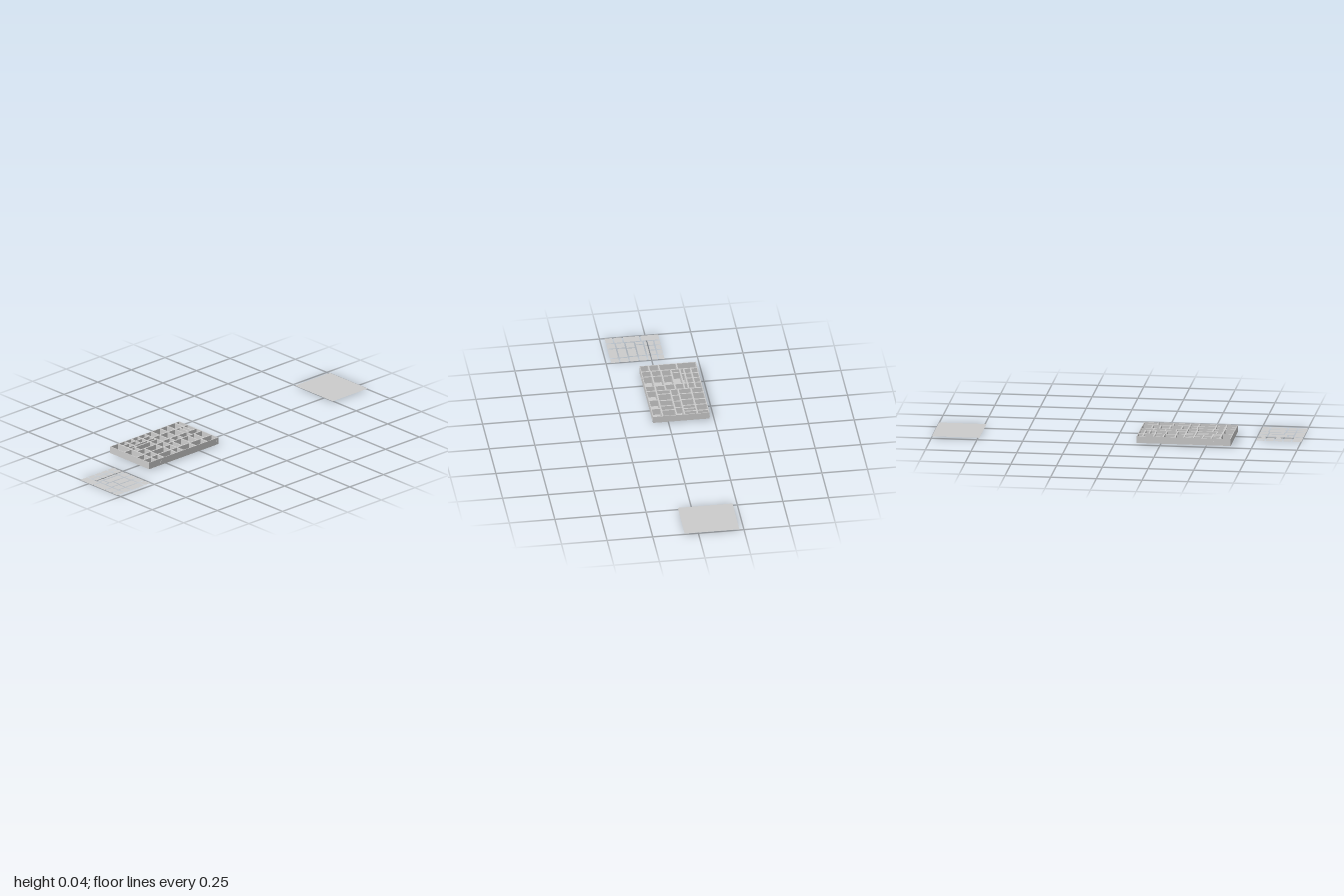
import * as THREE from 'three';

const mat = new THREE.MeshStandardMaterial({ color: 0xcccccc, flatShading: true, side: THREE.DoubleSide });
const W = 0.257, D = 0.31;          // one half of the tray
const BOTTOM = 0.005, TOP = 0.043;
const U = W / 48, V = D / 57;       // layout units
const Z0 = -0.225;

// Compartment rows: [z start, z end, ...x divisions]
const leftRows = [
  [0, 20, 0, 11], [20, 38, 0, 11], [38, 48, 0, 11], [48, 57, 0, 11],
  [0, 7, 11, 20, 29, 38, 48], [7, 14, 11, 20, 29, 38, 48],
  [14, 18, 11, 20, 38, 48], [18, 27, 11, 17, 38, 48],
  [27, 37, 11, 22, 38, 48], [37, 47, 11, 21, 39, 48], [47, 57, 11, 21, 39, 48],
];
const rightRows = [
  [0, 12, 0, 9, 21, 31, 42, 48], [12, 25, 0, 9, 20, 31, 37, 42, 48],
  [25, 33, 0, 11, 22, 34, 48], [33, 47, 0, 7, 19, 29, 37, 48],
  [47, 57, 0, 17, 33, 48],
];

// Turns rows into rectangles, inset by half a divider
function cells(rows, inset) {
  const out = [];
  for (const [z0, z1, ...xs] of rows)
    for (let i = 0; i + 1 < xs.length; i++)
      out.push([xs[i] * U + inset, z0 * V + inset, xs[i + 1] * U - inset, z1 * V - inset]);
  return out;
}

function rectPath(Type, [x0, z0, x1, z1]) {
  const p = new Type();
  p.moveTo(x0, -z0);
  p.lineTo(x1, -z0);
  p.lineTo(x1, -z1);
  p.lineTo(x0, -z1);
  p.closePath();
  return p;
}

function add(group, name, geometry, x, y, z) {
  const m = new THREE.Mesh(geometry, mat);
  m.name = name;
  m.position.set(x, y, z);
  group.add(m);
  return m;
}

// Frame and dividers of one half, cut from a slab
function dividerGeometry(rows) {
  const s = rectPath(THREE.Shape, [0, 0, W, D]);
  s.holes = cells(rows, 0.004).map(c => rectPath(THREE.Path, c));
  const g = new THREE.ExtrudeGeometry(s, { depth: TOP - BOTTOM, bevelEnabled: false });
  return g.rotateX(-Math.PI / 2);
}

// Separate flat floor tiles, one per compartment
function tileGeometry(rows, inset) {
  const shapes = cells(rows, inset).map(c => rectPath(THREE.Shape, c));
  return new THREE.ShapeGeometry(shapes).rotateX(-Math.PI / 2);
}

function plateGeometry(w, d) {
  return new THREE.PlaneGeometry(w, d).rotateX(-Math.PI / 2);
}

export function createModel() {
  const root = new THREE.Group();
  root.name = 'compartmentTray';

  const tray = new THREE.Group();
  tray.name = 'tray';
  root.add(tray);
  const xL = -0.634, xR = xL + W;
  add(tray, 'denseDividers', dividerGeometry(leftRows), xL, BOTTOM, Z0);
  add(tray, 'openDividers', dividerGeometry(rightRows), xR, BOTTOM, Z0);

  // Floors: one solid panel, one set of fitted tiles
  add(tray, 'solidFloor', plateGeometry(W, D), xL + W / 2, BOTTOM - 0.0005, Z0 + D / 2);
  add(tray, 'tiledFloor', tileGeometry(rightRows, 0.004), xR, BOTTOM + 0.002, Z0);

  // Small round pins on the front and back walls
  for (const x of [-0.54, -0.13])
    for (const z of [Z0, Z0 + D]) {
      const g = new THREE.CylinderGeometry(0.009, 0.009, 0.003, 12).rotateX(Math.PI / 2);
      add(tray, 'pin', g, x, 0.02, z);
    }

  // Loose liner tiles beside the tray
  const liner = add(root, 'looseLinerTiles', tileGeometry(leftRows, 0.004), -1.004, 0, -0.075);
  liner.scale.set(0.99, 1, 0.97);

  // Loose base panel
  add(root, 'loosePanel', plateGeometry(0.26, 0.3), 0.87, 0.005, -0.075);
  return root;
}
